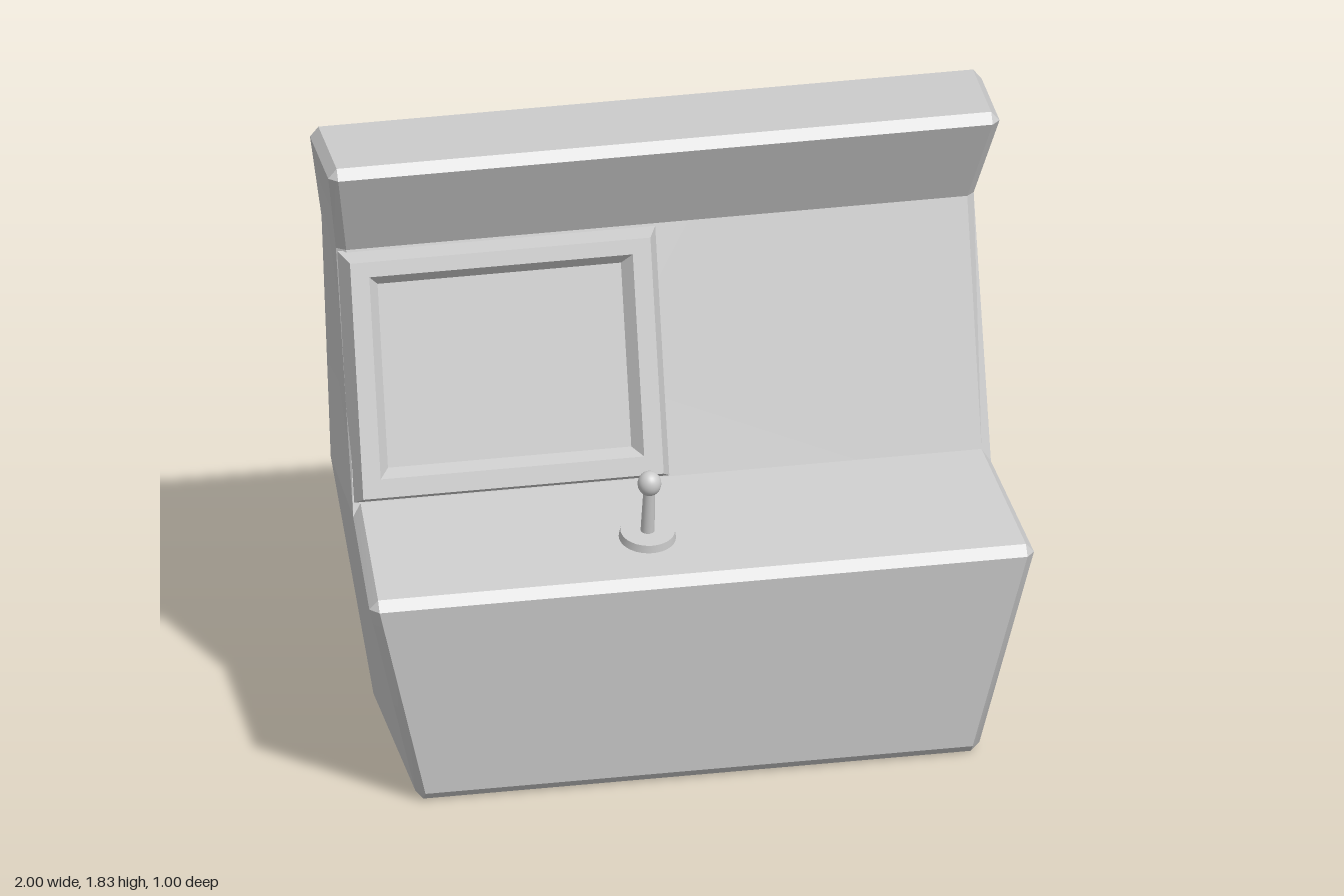
import * as THREE from 'three';
import { toCreasedNormals } from 'three/addons/utils/BufferGeometryUtils.js';

const grey = new THREE.MeshStandardMaterial({ color: 0xcccccc, side: THREE.DoubleSide });

function named(name, geometry) {
  const mesh = new THREE.Mesh(geometry, grey);
  mesh.name = name;
  return mesh;
}

// Collects triangles, dropping the collapsed ones at shared corners.
function meshBuilder() {
  const out = [];
  const tri = (a, b, c) => {
    if (a.equals(b) || b.equals(c) || c.equals(a)) return;
    for (const p of [a, b, c]) out.push(p.x, p.y, p.z);
  };
  const quad = (a, b, c, d) => { tri(a, b, c); tri(a, c, d); };
  const build = () => {
    const g = new THREE.BufferGeometry();
    g.setAttribute('position', new THREE.Float32BufferAttribute(out, 3));
    return toCreasedNormals(g, 0.5);
  };
  return { tri, quad, build };
}

// Cabinet corners, from the front foot over the top to the back foot:
// edge points [z, y] of the bevelled outline, the side panel's corner, half width.
const CORNERS = [
  { edge: [[0.4, 0], [0.43, 0.03]], side: [0.405, 0.03], w: 0.84 },
  { edge: [[0.5, 0.67], [0.475, 0.7]], side: [0.47, 0.67], w: 0.99 },
  { edge: [[0, 0.78]], side: [0.015, 0.745], w: 0.95 },
  { edge: [[-0.22, 1.5]], side: [-0.25, 1.495], w: 0.95 },
  { edge: [[-0.085, 1.795], [-0.11, 1.825]], side: [-0.11, 1.795], w: 1 },
  { edge: [[-0.39, 1.825], [-0.42, 1.795]], side: [-0.39, 1.795], w: 1 },
  { edge: [[-0.5, 1.49]], side: [-0.47, 1.49], w: 0.95 },
  { edge: [[-0.385, 0.76]], side: [-0.355, 0.76], w: 0.945 },
  { edge: [[-0.27, 0.03], [-0.24, 0]], side: [-0.24, 0.03], w: 0.84 },
];

function cabinetGeometry() {
  const { tri, quad, build } = meshBuilder();
  const bevel = 0.025;
  const at = (x, [z, y]) => new THREE.Vector3(x, y, z);
  // Each row runs across the cabinet: side, edge, edge, side
  const rows = CORNERS.flatMap(({ edge, side, w }) => edge.map((e) => [
    at(-w, side), at(bevel - w, e), at(w - bevel, e), at(w, side),
  ]));
  rows.forEach((row, i) => {
    const next = rows[(i + 1) % rows.length];
    for (let k = 0; k < 3; k++) {
      if (i === rows.length - 1 && k === 1) continue; // open underside
      quad(row[k], row[k + 1], next[k + 1], next[k]);
    }
  });
  // Side panels: base, screen section, head
  for (const s of [-1, 1]) {
    for (const face of [[2, 7, 8, 0, 1], [2, 3, 6, 7], [3, 4, 5, 6]]) {
      const p = face.map((i) => at(s * CORNERS[i].w, CORNERS[i].side));
      for (let i = 1; i < p.length - 1; i++) {
        const flip = (face.length === 5) !== (s < 0);
        if (flip) tri(p[0], p[i], p[i + 1]);
        else tri(p[0], p[i + 1], p[i]);
      }
    }
  }
  return build();
}

// Walls between successive rectangles [x0, x1, y0, y1, z]
function steppedFrame(rects) {
  const { quad, build } = meshBuilder();
  const loops = rects.map(([x0, x1, y0, y1, z]) =>
    [[x0, y0], [x1, y0], [x1, y1], [x0, y1]].map(([x, y]) => new THREE.Vector3(x, y, z)));
  for (let r = 0; r < loops.length - 1; r++) {
    for (let i = 0; i < 4; i++) {
      const j = (i + 1) % 4;
      quad(loops[r][i], loops[r][j], loops[r + 1][j], loops[r + 1][i]);
    }
  }
  return build();
}

function createMonitor() {
  const monitor = new THREE.Group();
  monitor.name = 'monitor';
  monitor.position.set(0, 0.78, 0);
  monitor.rotation.x = -Math.atan2(0.22, 0.72);
  const glass = [-0.84, -0.115, 0.1, 0.647, 0.012];
  monitor.add(named('monitorFrame', steppedFrame([
    [-0.95, 0, 0, 0.75, -0.01],
    [-0.925, -0.03, 0.018, 0.72, 0.05],
    [-0.87, -0.085, 0.074, 0.675, 0.05],
    glass,
  ])));
  const [x0, x1, y0, y1, z] = glass;
  const screen = named('screen', new THREE.PlaneGeometry(x1 - x0, y1 - y0));
  screen.position.set((x0 + x1) / 2, (y0 + y1) / 2, z);
  monitor.add(screen);
  return monitor;
}

function createJoystick() {
  const joystick = new THREE.Group();
  joystick.name = 'joystick';
  joystick.position.set(-0.125, 0.732, 0.28);
  joystick.rotation.x = Math.atan2(0.08, 0.475); // stands square on the sloping panel
  const base = named('joystickBase', toCreasedNormals(new THREE.CylinderGeometry(0.08, 0.085, 0.03, 32), 0.5));
  base.position.y = 0.01;
  const shaft = named('joystickShaft', new THREE.CylinderGeometry(0.017, 0.021, 0.16, 20));
  shaft.position.y = 0.095;
  const knob = named('joystickKnob', new THREE.SphereGeometry(0.035, 24, 16));
  knob.scale.y = 1.1;
  knob.position.y = 0.193;
  joystick.add(base, shaft, knob);
  return joystick;
}

export function createModel() {
  const model = new THREE.Group();
  model.name = 'arcadeCabinet';
  model.add(named('cabinet', cabinetGeometry()), createMonitor(), createJoystick());
  return model;
}
